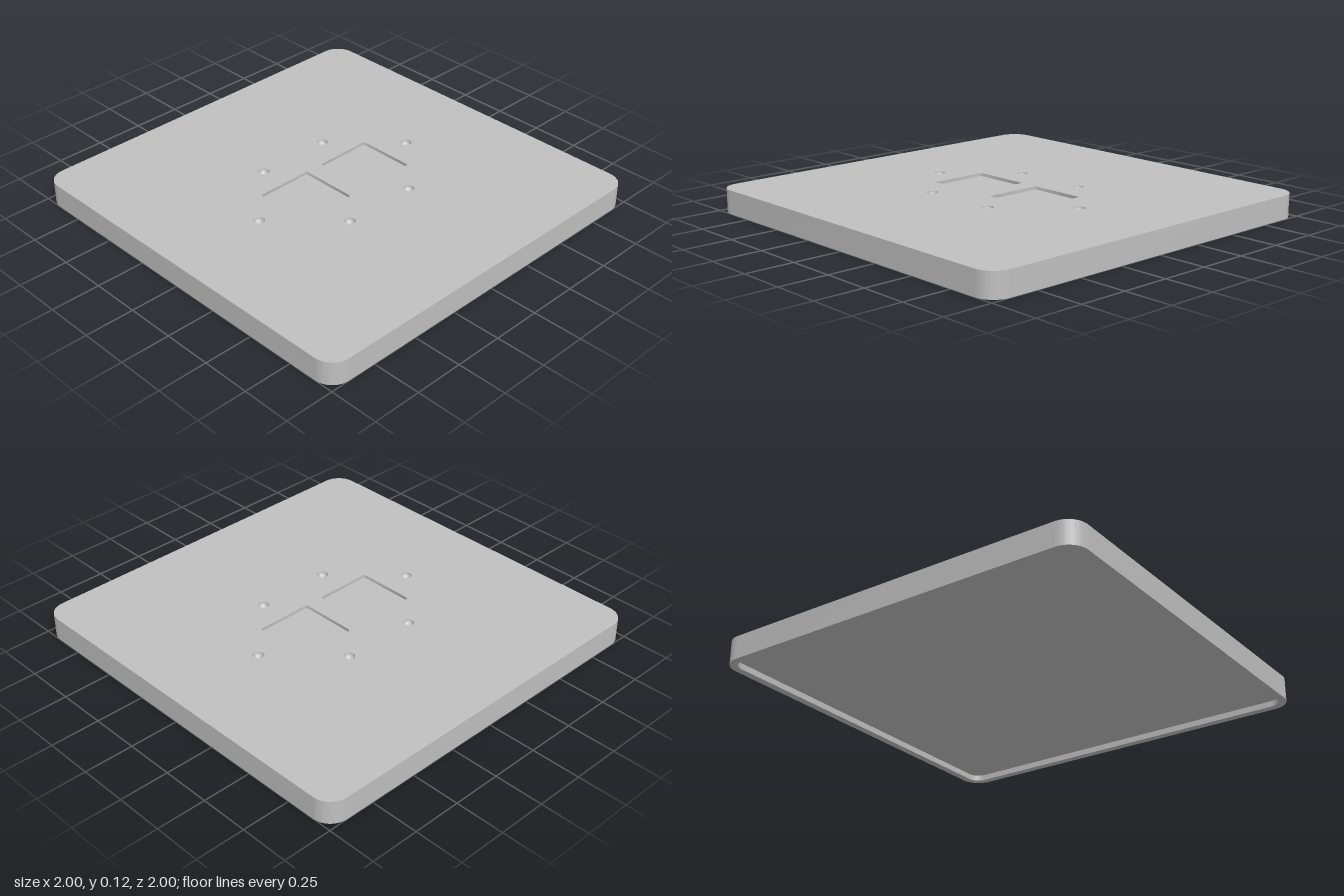
import * as THREE from 'three';
import { toCreasedNormals } from 'three/addons/utils/BufferGeometryUtils.js';

const HEIGHT = 0.12, RECESS = 0.03, POCKET = 0.016, DIMPLE_R = 0.028;

// Counter-clockwise rounded square, starting mid-edge so the seam lies on a flat side
function roundedSquare(half, r, cx = 0, path = new THREE.Shape()) {
  const k = half - r;
  path.moveTo(cx, -half).lineTo(cx + k, -half);
  path.absarc(cx + k, -k, r, -Math.PI / 2, 0);
  path.absarc(cx + k, k, r, 0, Math.PI / 2);
  path.absarc(cx - k, k, r, Math.PI / 2, Math.PI);
  path.absarc(cx - k, -k, r, Math.PI, Math.PI * 1.5);
  path.lineTo(cx, -half);
  return path;
}

// Horizontal face at height y, looking up (1) or down (-1)
function face(shape, y, dir) {
  return new THREE.ShapeGeometry(shape, 16).rotateX(-dir * Math.PI / 2).translate(0, y, 0);
}

// Vertical wall along an outline: rising walls face outward, falling walls inward
function wall(shape, yFrom, yTo) {
  const pts = shape.getPoints(16), pos = [], index = [];
  pts.forEach((p, i) => {
    pos.push(p.x, yFrom, -p.y, p.x, yTo, -p.y);
    if (i < pts.length - 1) {
      const a = i * 2;
      index.push(a, a + 2, a + 3, a, a + 3, a + 1);
    }
  });
  const g = new THREE.BufferGeometry();
  g.setAttribute('position', new THREE.Float32BufferAttribute(pos, 3));
  g.setIndex(index);
  return toCreasedNormals(g, 0.6);
}

export function createModel() {
  const model = new THREE.Group();
  model.name = 'basePlate';
  const grey = new THREE.MeshStandardMaterial({ color: 0xc0c0c0 });
  grey.name = 'plainGrey';
  const add = (name, geometry) => {
    const mesh = new THREE.Mesh(geometry, grey);
    mesh.name = name;
    model.add(mesh);
    return mesh;
  };

  const outer = () => roundedSquare(1, 0.1);
  const inner = roundedSquare(0.96, 0.06);
  const pockets = [-0.2, 0.2].map((x) => roundedSquare(0.152, 0.01, x));
  const dimples = [[-0.5, 0], [0.5, 0], [-0.2, 0.3], [0.2, 0.3], [-0.2, -0.3], [0.2, -0.3]];

  // Top face, pierced by the pockets and dimples
  const top = outer();
  top.holes.push(...pockets);
  for (const [x, z] of dimples) {
    top.holes.push(new THREE.Path().absarc(x, -z, DIMPLE_R, 0, Math.PI * 2));
  }
  add('topFace', face(top, HEIGHT, 1));
  add('sideWall', wall(outer(), 0, HEIGHT));

  // Underside: narrow rim around a shallow recess
  const rim = outer();
  rim.holes.push(inner);
  add('bottomRim', face(rim, 0, -1));
  add('recessWall', wall(inner, RECESS, 0));
  add('recessCeiling', face(inner, RECESS, -1));

  // Square pockets
  for (const p of pockets) {
    add('pocketWall', wall(p, HEIGHT, HEIGHT - POCKET));
    add('pocketFloor', face(p, HEIGHT - POCKET, 1));
  }

  // Round dimples, hollow half spheres
  const bowl = [];
  for (let i = 0; i <= 8; i++) {
    const a = (i / 8) * Math.PI / 2;
    bowl.push(new THREE.Vector2(i === 8 ? 0 : DIMPLE_R * Math.cos(a), -DIMPLE_R * Math.sin(a)));
  }
  const bowlGeometry = new THREE.LatheGeometry(bowl, 32);
  for (const [x, z] of dimples) add('dimple', bowlGeometry).position.set(x, HEIGHT, z);

  return model;
}
